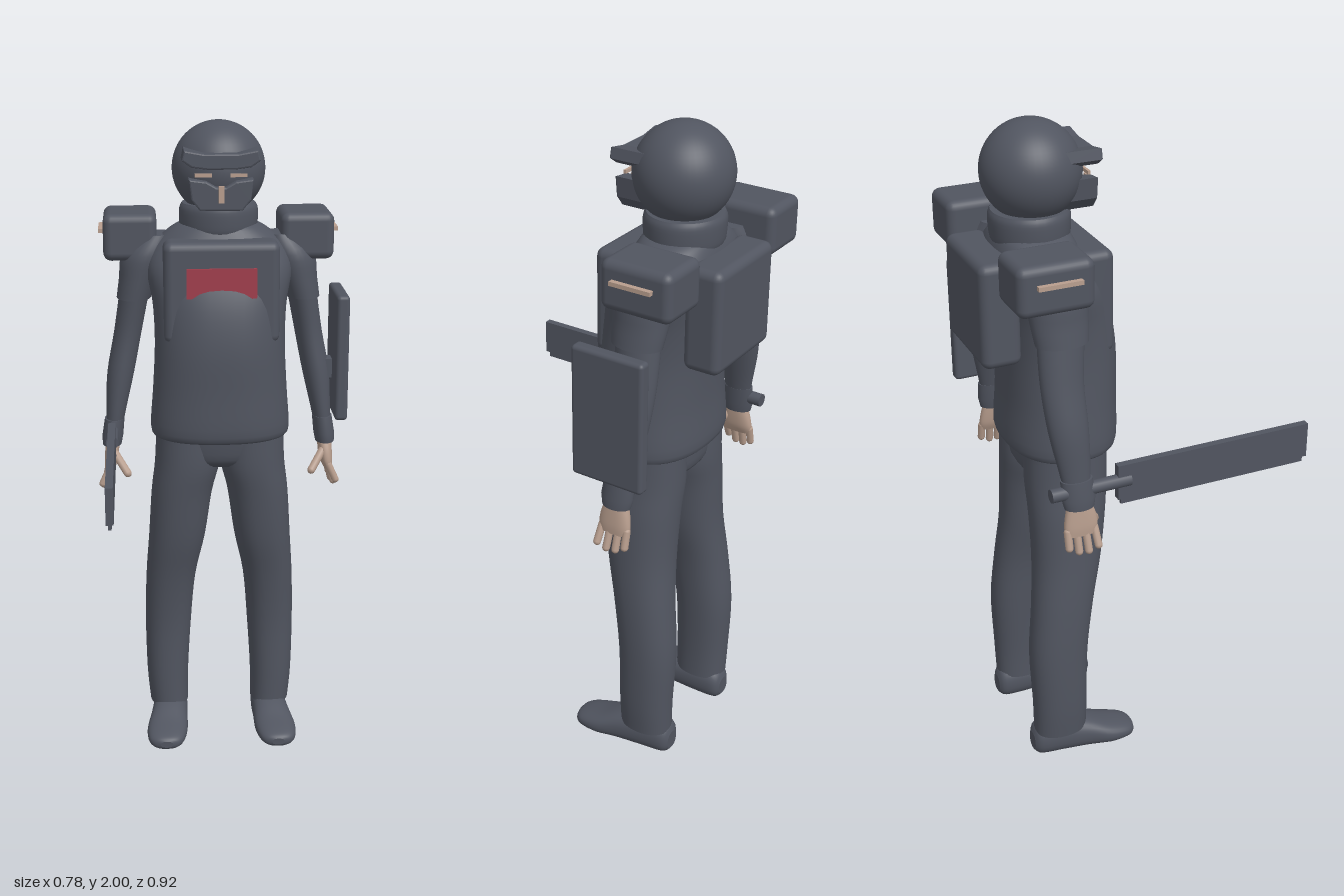
import * as THREE from 'three';
import { RoundedBoxGeometry } from 'three/addons/geometries/RoundedBoxGeometry.js';

const MID = -0.007; // the body's own centre line

export function createModel() {
  const model = new THREE.Group();
  model.name = 'armouredFigure';
  const make = (name, color) => {
    const m = new THREE.MeshStandardMaterial({ color });
    m.name = name;
    return m;
  };
  const slate = make('slate', 0x515560);
  const skin = make('skin', 0xb89e8e);
  const red = make('red', 0xa03e4c);

  const add = (name, geometry, material = slate) => {
    const mesh = new THREE.Mesh(geometry, material);
    mesh.name = name;
    model.add(mesh);
    return mesh;
  };

  // Box given by its limits on each axis, with rounded edges when r > 0
  const box = (name, [x0, x1], [y0, y1], [z0, z1], r = 0, material = slate) => {
    const s = [x1 - x0, y1 - y0, z1 - z0];
    const g = r ? new RoundedBoxGeometry(...s, 3, r) : new THREE.BoxGeometry(...s);
    g.translate((x0 + x1) / 2, (y0 + y1) / 2, (z0 + z1) / 2);
    return add(name, g, material);
  };

  // Closed skin through elliptical rings [y, cx, cz, rx, rz], listed upwards; p < 1 squares them
  const loft = (rows, p = 1, n = 32) => {
    const first = rows[0], last = rows[rows.length - 1];
    const rings = [[...first.slice(0, 3), 0, 0], first, ...rows, last, [...last.slice(0, 3), 0, 0]];
    const pos = [], idx = [];
    const bend = (v) => Math.sign(v) * Math.abs(v) ** p;
    for (const [y, cx, cz, rx, rz] of rings)
      for (let i = 0; i < n; i++) {
        const a = (i / n) * Math.PI * 2;
        pos.push(cx + rx * bend(Math.cos(a)), y, cz + rz * bend(Math.sin(a)));
      }
    for (let r = 0; r < rings.length - 1; r++)
      for (let i = 0; i < n; i++) {
        const a = r * n + i, c = r * n + ((i + 1) % n);
        idx.push(a, a + n, c, c, a + n, c + n);
      }
    const g = new THREE.BufferGeometry();
    g.setAttribute('position', new THREE.Float32BufferAttribute(pos, 3));
    g.setIndex(idx);
    g.computeVertexNormals();
    return g;
  };

  // Smooth the listed rings with a curve through them
  const smooth = (rows, steps = 4) => {
    const out = [];
    const at = (i) => rows[Math.max(0, Math.min(rows.length - 1, i))];
    for (let i = 0; i < rows.length - 1; i++)
      for (let k = 0; k < steps; k++) {
        const t = k / steps;
        out.push(at(i).map((b, j) => {
          const a = at(i - 1)[j], c = at(i + 1)[j], d = at(i + 2)[j];
          return b + 0.5 * t * (c - a + t * (2 * a - 5 * b + 4 * c - d + t * (3 * (b - c) + d - a)));
        }));
      }
    out.push(at(rows.length - 1));
    return out;
  };

  // Rounded rod between two points
  const rod = (name, a, b, r, material) => {
    const from = new THREE.Vector3(...a), to = new THREE.Vector3(...b);
    const dir = to.clone().sub(from);
    const mesh = add(name, new THREE.CapsuleGeometry(r, dir.length(), 4, 10), material);
    mesh.position.copy(from).add(to).multiplyScalar(0.5);
    mesh.quaternion.setFromUnitVectors(new THREE.Vector3(0, 1, 0), dir.normalize());
  };

  // Shirt and hips
  add('shirt', loft(smooth([
    [1.045, MID, -0.2, 0.2, 0.145], [1.07, MID, -0.2, 0.216, 0.165], [1.2, MID, -0.195, 0.207, 0.162],
    [1.34, MID, -0.195, 0.2, 0.163], [1.46, MID, -0.21, 0.205, 0.16], [1.56, MID, -0.235, 0.222, 0.148],
    [1.63, MID, -0.255, 0.2, 0.125], [1.68, MID, -0.26, 0.145, 0.105], [1.7, MID, -0.26, 0.1, 0.09],
  ]), 0.85, 48));
  add('hips', loft(smooth([
    [0.95, MID, -0.21, 0.1, 0.085], [0.98, MID, -0.21, 0.17, 0.115], [1.07, MID, -0.205, 0.195, 0.125],
  ]), 0.9));

  for (const s of [1, -1]) {
    const side = s > 0 ? 'left' : 'right';
    const X = (x) => MID + s * x;
    const mirror = (rows) => rows.map(([y, x, ...rest]) => [y, X(x), ...rest]);

    // Trouser leg
    add(side + 'Leg', loft(smooth(mirror([
      [0.09, 0.168, -0.27, 0.063, 0.083], [0.2, 0.172, -0.27, 0.068, 0.085], [0.38, 0.168, -0.27, 0.075, 0.09],
      [0.55, 0.158, -0.25, 0.08, 0.094], [0.7, 0.137, -0.226, 0.09, 0.104], [0.85, 0.121, -0.215, 0.096, 0.115],
      [0.95, 0.103, -0.21, 0.102, 0.122], [1.05, 0.1, -0.208, 0.1, 0.122],
    ])), 0.9));

    // Shoe, lofted heel to toe and laid down; its rings run along z with the third value as -height
    add(side + 'Shoe', loft(smooth(mirror([
      [-0.36, 0.16, -0.05, 0.025, 0.03], [-0.34, 0.16, -0.058, 0.045, 0.053], [-0.27, 0.163, -0.062, 0.055, 0.06],
      [-0.19, 0.17, -0.054, 0.06, 0.052], [-0.12, 0.178, -0.041, 0.066, 0.038],
      [-0.065, 0.182, -0.035, 0.058, 0.027], [-0.04, 0.182, -0.032, 0.042, 0.02], [-0.031, 0.182, -0.032, 0.02, 0.011],
    ])), 0.85)).rotation.x = Math.PI / 2;

    // Short sleeve, arm and wrist cuff
    add(side + 'Sleeve', loft(smooth(mirror([
      [1.462, 0.262, -0.277, 0.053, 0.076], [1.52, 0.247, -0.278, 0.06, 0.082], [1.6, 0.222, -0.278, 0.074, 0.085],
      [1.66, 0.19, -0.275, 0.05, 0.06],
    ]))));
    add(side + 'Arm', loft(smooth(mirror([
      [1.02, 0.335, -0.268, 0.024, 0.036], [1.1, 0.325, -0.272, 0.031, 0.046], [1.22, 0.308, -0.282, 0.042, 0.058],
      [1.35, 0.283, -0.288, 0.043, 0.062], [1.48, 0.26, -0.28, 0.046, 0.068],
    ]))));
    add(side + 'Cuff', loft(mirror([
      [0.99, 0.34, -0.266, 0.03, 0.044], [1.02, 0.337, -0.267, 0.033, 0.05], [1.075, 0.33, -0.27, 0.031, 0.047],
    ])));

    // Hand with four fingers and a thumb
    add(side + 'Palm', loft(smooth(mirror([
      [0.905, 0.35, -0.265, 0.014, 0.046], [0.93, 0.345, -0.264, 0.02, 0.05], [0.965, 0.341, -0.264, 0.022, 0.045],
      [1.0, 0.338, -0.266, 0.022, 0.034],
    ])), 0.85), skin);
    [0.87, 0.857, 0.858, 0.872].forEach((tip, i) =>
      rod(side + 'Finger', [X(0.349), 0.92, -0.225 - i * 0.027], [X(0.372 - i * 0.004), tip, -0.222 - i * 0.028], 0.0115, skin));
    rod(side + 'Thumb', [X(0.33), 0.965, -0.235], [X(0.292), 0.91, -0.2], 0.013, skin);

    // Shoulder box with its pale side strip
    const span = (a, b) => [X(a), X(b)].sort((p, q) => p - q);
    box(side + 'ShoulderBox', span(0.189, 0.352), [1.582, 1.724], [-0.43, -0.212], 0.025);
    box(side + 'ShoulderStrip', span(0.345, 0.367), [1.664, 1.676], [-0.38, -0.255], 0, skin);
  }

  // Head, neck and collar
  const head = add('helmet', new THREE.SphereGeometry(0.141, 48, 32));
  head.position.set(MID, 1.859, -0.252);
  add('collar', loft(smooth([
    [1.665, MID, -0.26, 0.112, 0.106], [1.685, MID, -0.26, 0.119, 0.112], [1.735, MID, -0.26, 0.12, 0.114],
    [1.755, MID, -0.26, 0.112, 0.107],
  ])));

  // Visor over the brow, swept up at the outer corners
  const outline = (points, depth, z) => {
    const shape = new THREE.Shape(points.map(([x, y]) => new THREE.Vector2(x + MID, y)));
    const g = new THREE.ExtrudeGeometry(shape, {
      depth, bevelEnabled: true, bevelSize: 0.005, bevelThickness: 0.005, bevelSegments: 2,
    });
    return g.translate(0, 0, z);
  };
  add('visor', outline([
    [-0.085, 1.883], [-0.04, 1.877], [0.04, 1.877], [0.085, 1.883], [0.11, 1.9], [0.105, 1.922],
    [0.05, 1.912], [-0.05, 1.912], [-0.105, 1.922], [-0.11, 1.9],
  ], 0.11, -0.203));

  // Face mask with a notch for the nose
  add('faceMask', outline([
    [-0.06, 1.757], [0.06, 1.757], [0.083, 1.785], [0.09, 1.838], [0.045, 1.832], [0.015, 1.815],
    [-0.015, 1.815], [-0.045, 1.832], [-0.09, 1.838], [-0.083, 1.785],
  ], 0.1, -0.198));
  box('nose', [MID - 0.008, MID + 0.008], [1.775, 1.825], [-0.094, -0.088], 0, skin);
  for (const s of [1, -1]) {
    const cx = MID + s * 0.052;
    box('eye', [cx - 0.025, cx + 0.025], [1.848, 1.858], [-0.117, -0.109], 0, skin);
  }

  // Chest plate, its red panel, and backpack
  box('chestPlate', [-0.18, 0.168], [1.353, 1.66], [-0.19, -0.078], 0.025);
  box('chestPanel', [-0.112, 0.098], [1.495, 1.585], [-0.079, -0.07], 0, red);
  box('backpack', [-0.155, 0.14], [1.355, 1.66], [-0.46, -0.345], 0.025);

  // Shield on the left arm
  box('shield', [0.35, 0.39], [1.085, 1.48], [-0.38, -0.153], 0.012);
  box('shieldMount', [0.32, 0.355], [1.2, 1.26], [-0.3, -0.25]);

  // Sword in the right hand
  box('swordBlade', [-0.355, -0.333], [0.985, 1.093], [-0.15, 0.46]);
  box('swordEdge', [-0.349, -0.339], [0.967, 0.987], [-0.14, 0.45]);
  const grip = add('swordGrip', new THREE.CylinderGeometry(0.02, 0.02, 0.24, 16));
  grip.rotation.x = Math.PI / 2;
  grip.position.set(-0.344, 1.04, -0.23);

  return model;
}
